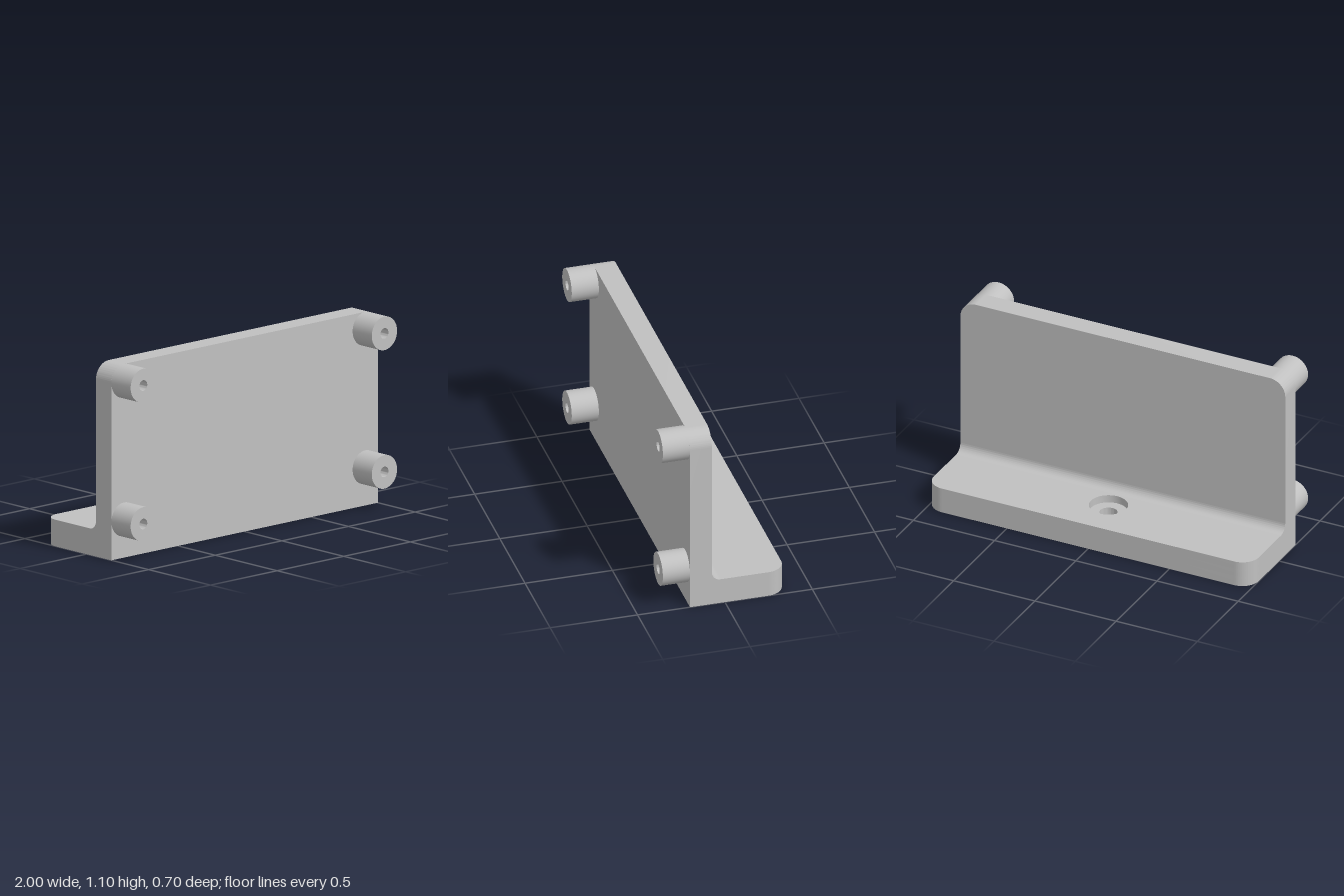
import * as THREE from 'three';
import { toCreasedNormals } from 'three/addons/utils/BufferGeometryUtils.js';

const H = 1.095, BACK = -0.35, WALL_BACK = 0.075, WALL_FRONT = 0.2;
const BASE_H = 0.15, POCKET = 0.06, SEAT = 0.105, R = 0.095;
const HOLE_Z = -0.1;

// Rectangle from y0 to y1, full width, with both upper corners rounded
function roundedTop(y0, y1, r) {
  const s = new THREE.Shape();
  s.moveTo(-1, y0);
  s.lineTo(1, y0);
  s.lineTo(1, y1 - r);
  s.absarc(1 - r, y1 - r, r, 0, Math.PI / 2, false);
  s.absarc(-1 + r, y1 - r, r, Math.PI / 2, Math.PI, false);
  s.closePath();
  return s;
}

function extrude(shape, depth) {
  return new THREE.ExtrudeGeometry(shape, { depth, bevelEnabled: false, curveSegments: 24 });
}

function circle(r) {
  return new THREE.Path().absarc(0, -HOLE_Z, r, 0, Math.PI * 2, false);
}

// Long diamond with rounded ends, for the recess under the base
function pocketPath() {
  const cx = 0.61, r = 0.085, half = 0.172, cy = -HOLE_Z;
  // angle of the tangent point on the end circle, from the middle corner
  const t = Math.atan2(half, -cx) - Math.acos(r / Math.hypot(cx, half));
  const p = new THREE.Path();
  p.moveTo(0, cy - half);
  p.absarc(cx, cy, r, -t, t, false);
  p.lineTo(0, cy + half);
  p.absarc(-cx, cy, r, Math.PI - t, Math.PI + t, false);
  p.closePath();
  return p;
}

export function createModel() {
  const group = new THREE.Group();
  const grey = new THREE.MeshStandardMaterial({ color: 0xc0c0c0 });
  grey.name = 'grey';

  function add(name, geometry) {
    const mesh = new THREE.Mesh(toCreasedNormals(geometry, 0.5), grey);
    mesh.name = name;
    group.add(mesh);
    return mesh;
  }

  // Upright wall
  add('wall', extrude(roundedTop(0, H, R), WALL_FRONT - WALL_BACK)).position.z = WALL_BACK;

  // Base in three layers: recess, through hole, counterbore
  const layers = [
    ['baseRecessLayer', 0, POCKET, pocketPath()],
    ['baseHoleLayer', POCKET, SEAT, circle(0.05)],
    ['baseCounterboreLayer', SEAT, BASE_H, circle(0.108)],
  ];
  for (const [name, y0, y1, hole] of layers) {
    const shape = roundedTop(-WALL_BACK, -BACK, 0.1);
    shape.holes.push(hole);
    add(name, extrude(shape, y1 - y0).rotateX(-Math.PI / 2)).position.y = y0;
  }

  // Fillet between base and wall
  const f = 0.05;
  const fillet = new THREE.Shape();
  fillet.moveTo(-WALL_BACK, BASE_H);
  fillet.lineTo(-WALL_BACK + f, BASE_H);
  fillet.absarc(-WALL_BACK + f, BASE_H + f, f, -Math.PI / 2, -Math.PI, true);
  fillet.closePath();
  add('fillet', extrude(fillet, 2).rotateY(Math.PI / 2)).position.x = -1;

  // Four standoffs with blind, cone-bottomed holes
  const profile = [[R, 0], [R, 0.155], [0.03, 0.155], [0.03, 0.02], [0, 0.002]]
    .map(([x, y]) => new THREE.Vector2(x, y));
  for (const x of [-1 + R, 1 - R]) {
    for (const y of [0.217, H - R]) {
      const geometry = new THREE.LatheGeometry(profile, 48).rotateX(Math.PI / 2);
      add('standoff', geometry).position.set(x, y, WALL_FRONT);
    }
  }
  return group;
}
